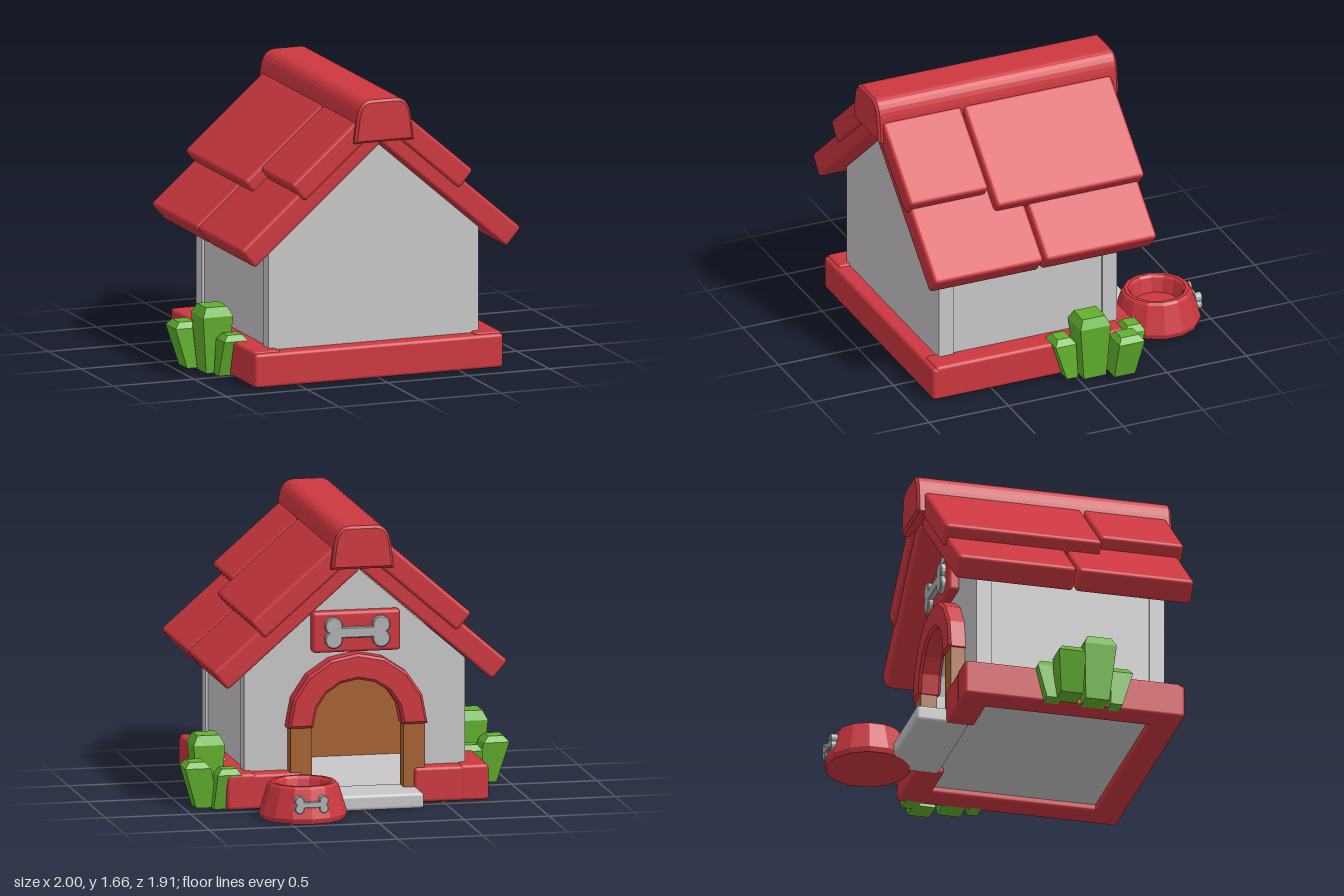
import * as THREE from 'three';
import { RoundedBoxGeometry } from 'three/addons/geometries/RoundedBoxGeometry.js';

const material = (name, color) => {
  const m = new THREE.MeshStandardMaterial({ color });
  m.name = name;
  return m;
};

export function createModel() {
  const red = material('red', 0xcc373f);
  const grey = material('light grey', 0xc8c6c8);
  const metal = material('bone grey', 0xb0b2b4);
  const brown = material('brown', 0xa5622f);
  const green = material('green', 0x62b22e);

  const model = new THREE.Group();
  model.name = 'dogHouse';

  const add = (name, geometry, mat, parent = model) => {
    const mesh = new THREE.Mesh(geometry, mat);
    mesh.name = name;
    parent.add(mesh);
    return mesh;
  };
  // Box given by its limits, with softened edges when r > 0
  const block = (name, mat, x0, x1, y0, y1, z0, z1, r = 0) => {
    const size = [x1 - x0, y1 - y0, z1 - z0];
    const geometry = r ? new RoundedBoxGeometry(...size, 2, r) : new THREE.BoxGeometry(...size);
    const mesh = add(name, geometry, mat);
    mesh.position.set((x0 + x1) / 2, (y0 + y1) / 2, (z0 + z1) / 2);
    return mesh;
  };
  // Shape extruded from z0 to z1, bevel included
  const slab = (name, mat, shape, z0, z1, bevel = 0, curveSegments = 6) => {
    const geometry = new THREE.ExtrudeGeometry(shape, {
      depth: z1 - z0 - 2 * bevel, bevelEnabled: bevel > 0, bevelSize: bevel,
      bevelThickness: bevel, bevelSegments: 1, curveSegments,
    });
    geometry.translate(0, 0, z0 + bevel);
    return add(name, geometry, mat);
  };
  const flat = (geometry) => {
    const g = geometry.index ? geometry.toNonIndexed() : geometry;
    g.computeVertexNormals();
    return g;
  };

  // Base frame, open at the doorway
  block('baseFront', red, -0.77, 0.77, 0, 0.2, 0.7, 0.87, 0.02);
  for (const s of [-1, 1]) {
    const span = (a, b) => (s > 0 ? [a, b] : [-b, -a]);
    block('baseSide', red, ...span(0.6, 0.77), 0, 0.21, -0.44, 0.85, 0.02);
    block('baseDoorSide', red, ...span(0.33, 0.765), 0, 0.205, -0.438, -0.27, 0.02);
    // Side walls, slightly recessed between the gables
    block('sideWall', grey, ...span(0.55, 0.635), 0.05, 0.83, -0.25, 0.69);
    block('sideLining', brown, ...span(0.54, 0.549), 0.09, 0.84, -0.25, 0.61);
  }
  block('floor', grey, -0.6, 0.6, 0.04, 0.09, -0.34, 0.7);
  block('doorStep', grey, -0.35, 0.35, 0, 0.092, -0.615, -0.3, 0.02);

  // Gable walls
  const gable = (w, y0, eave, top) => new THREE.Shape([
    new THREE.Vector2(-w, y0), new THREE.Vector2(w, y0), new THREE.Vector2(w, eave),
    new THREE.Vector2(0, top), new THREE.Vector2(-w, eave),
  ]);
  slab('frontWall', grey, gable(0.65, 0.05, 0.82, 1.385), 0.69, 0.78);
  slab('frontLining', brown, gable(0.54, 0.09, 0.84, 1.3), 0.6, 0.609);

  const doorWall = new THREE.Shape();
  doorWall.moveTo(-0.65, 0.05);
  doorWall.lineTo(-0.3, 0.05);
  doorWall.lineTo(-0.3, 0.47);
  doorWall.absarc(0, 0.47, 0.3, Math.PI, 0, true);
  doorWall.lineTo(0.3, 0.05);
  doorWall.lineTo(0.65, 0.05);
  doorWall.lineTo(0.65, 0.82);
  doorWall.lineTo(0, 1.385);
  doorWall.lineTo(-0.65, 0.82);
  slab('doorWall', grey, doorWall, -0.34, -0.25, 0, 4);

  // Door frame: brown posts under a red arch
  block('leftDoorPost', brown, 0.27, 0.395, 0.08, 0.47, -0.425, -0.33);
  block('rightDoorPost', brown, -0.395, -0.27, 0.08, 0.47, -0.425, -0.33);
  const arch = new THREE.Shape();
  arch.absarc(0, 0.475, 0.395, 0, Math.PI, false);
  arch.absarc(0, 0.475, 0.275, Math.PI, 0, true);
  slab('doorArch', red, arch, -0.44, -0.31, 0.015, 4);

  // Bone ornament
  const bone = () => {
    const a = 0.14, b = 0.04, r = 0.046, p = Math.PI;
    const shape = new THREE.Shape();
    shape.absarc(a, b, r, 1.1 * p, -p / 3, true);
    shape.absarc(a, -b, r, p / 3, -1.1 * p, true);
    shape.absarc(-a, -b, r, 0.1 * p, -4 * p / 3, true);
    shape.absarc(-a, b, r, 4 * p / 3, -0.1 * p, true);
    return shape;
  };
  block('signBoard', red, -0.26, 0.26, 0.89, 1.13, -0.4, -0.33, 0.02);
  slab('signBone', metal, bone(), -0.43, -0.39, 0.006).position.y = 1.01;

  // Roof tiles: s runs down the slope from the ridge, n is the height above it
  const c = 0.755, k = 0.656;
  const tiles = [
    ['lowerTile', 0, 1.03, 0, 0.14, 0.215, 0.9],
    ['lowerTile', 0, 1.03, 0, 0.14, -0.5, 0.2],
    ['upperTile', 0.03, 0.56, 0.085, 0.217, 0.425, 0.92],
    ['upperTile', 0.03, 0.675, 0.085, 0.217, -0.52, 0.41],
  ];
  for (const side of [-1, 1]) {
    for (const [name, s0, s1, n0, n1, z0, z1] of tiles) {
      const s = (s0 + s1) / 2, n = (n0 + n1) / 2;
      const tile = add(name, new RoundedBoxGeometry(s1 - s0, n1 - n0, z1 - z0, 2, 0.02), red);
      tile.position.set(side * (s * c + n * k), 1.39 - s * k + n * c, (z0 + z1) / 2);
      tile.rotation.z = -side * Math.atan2(k, c);
    }
  }

  // Ridge cap
  const cap = new THREE.Shape();
  cap.moveTo(-0.168, 1.42);
  cap.lineTo(0.168, 1.42);
  cap.lineTo(0.152, 1.55);
  cap.quadraticCurveTo(0.14, 1.64, 0.08, 1.642);
  cap.lineTo(-0.08, 1.642);
  cap.quadraticCurveTo(-0.14, 1.64, -0.152, 1.55);
  slab('ridgeCap', red, cap, -0.565, 0.95, 0.015);

  // Food bowl
  const profile = [[0, 0], [0.245, 0], [0.255, 0.03], [0.205, 0.195], [0.19, 0.21],
    [0.168, 0.21], [0.155, 0.195], [0.135, 0.11], [0, 0.11]];
  const bowl = add('foodBowl', flat(new THREE.LatheGeometry(
    profile.map(([x, y]) => new THREE.Vector2(x, y)), 14)), red);
  bowl.position.set(0.385, 0, -0.71);
  const bowlBone = slab('bowlBone', metal, bone(), -0.04, 0.04, 0.006);
  bowlBone.scale.set(0.51, 0.55, 0.55);
  bowlBone.position.set(0.385, 0.113, -0.933);

  // Shrubs: each stalk is [x, z, width, depth, y] at foot, shoulder and tip
  const stalks = [
    [[0.815, -0.1, 0.13, 0.14, 0], [0.82, -0.09, 0.185, 0.19, 0.335], [0.82, -0.09, 0.13, 0.14, 0.39]],
    [[0.86, -0.265, 0.14, 0.13, 0], [0.925, -0.28, 0.15, 0.16, 0.235], [0.925, -0.28, 0.09, 0.11, 0.27]],
    [[0.79, 0.025, 0.1, 0.07, 0], [0.755, 0.06, 0.15, 0.13, 0.21], [0.755, 0.06, 0.09, 0.08, 0.245]],
    [[0.79, -0.345, 0.1, 0.09, 0], [0.755, -0.38, 0.14, 0.12, 0.205], [0.755, -0.38, 0.09, 0.08, 0.24]],
  ];
  for (const [side, shift] of [[1, 0], [-1, 0.42]]) {
    const shrub = new THREE.Group();
    shrub.name = side > 0 ? 'leftShrub' : 'rightShrub';
    model.add(shrub);
    for (const rows of stalks) {
      const geometry = new THREE.BoxGeometry(1, 1, 1, 1, 2, 1);
      const pos = geometry.attributes.position;
      for (let i = 0; i < pos.count; i++) {
        const [x, z, w, d, y] = rows[Math.round(pos.getY(i) * 2) + 1];
        pos.setXYZ(i, side * x + pos.getX(i) * w, y, z + shift + pos.getZ(i) * d);
      }
      add('stalk', flat(geometry), green, shrub);
    }
  }
  return model;
}
